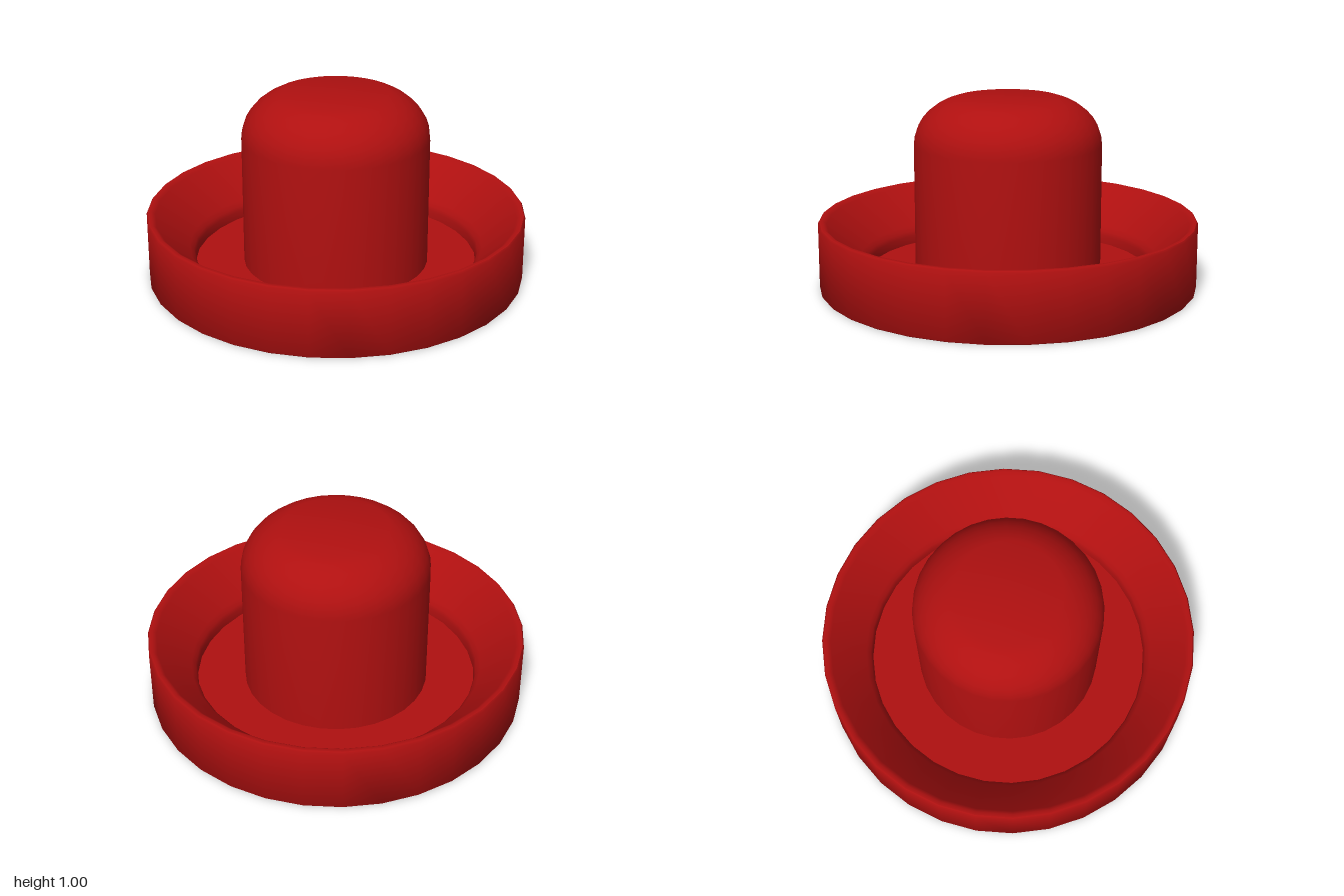
import * as THREE from 'three';
import { toCreasedNormals } from 'three/addons/utils/BufferGeometryUtils.js';

const SIDES = 32;

// Revolve a list of [radius, height] points into a named mesh
function turned(name, profile, material) {
  const points = profile.map(([r, y]) => new THREE.Vector2(r, y));
  const geometry = toCreasedNormals(new THREE.LatheGeometry(points, SIDES), THREE.MathUtils.degToRad(50));
  const mesh = new THREE.Mesh(geometry, material);
  mesh.name = name;
  return mesh;
}

export function createModel() {
  const group = new THREE.Group();
  group.name = 'dishWithKnob';
  const red = new THREE.MeshStandardMaterial({ color: 0xb01010 });

  // Dish: flat underside, upright wall, softened rim, sloping inside, sunken floor
  group.add(turned('dish', [
    [0, 0], [0.995, 0], [1, 0.006], [1, 0.35], [0.993, 0.36], [0.975, 0.361], [0.955, 0.345],
    [0.78, 0.165], [0.758, 0.14], [0.75, 0.115], [0.75, 0.07], [0, 0.07],
  ], red));

  // Knob: straight sides, rounded shoulder, flat top
  const knob = [[0.492, 0.07], [0.492, 0.76]];
  const steps = 7;
  for (let i = 1; i <= steps; i++) {
    const a = THREE.MathUtils.degToRad(73.5) * (i / steps);
    knob.push([0.192 + 0.3 * Math.cos(a), 0.76 + 0.25 * Math.sin(a)]);
  }
  knob.push([0, 1]);
  group.add(turned('knob', knob, red));

  return group;
}
